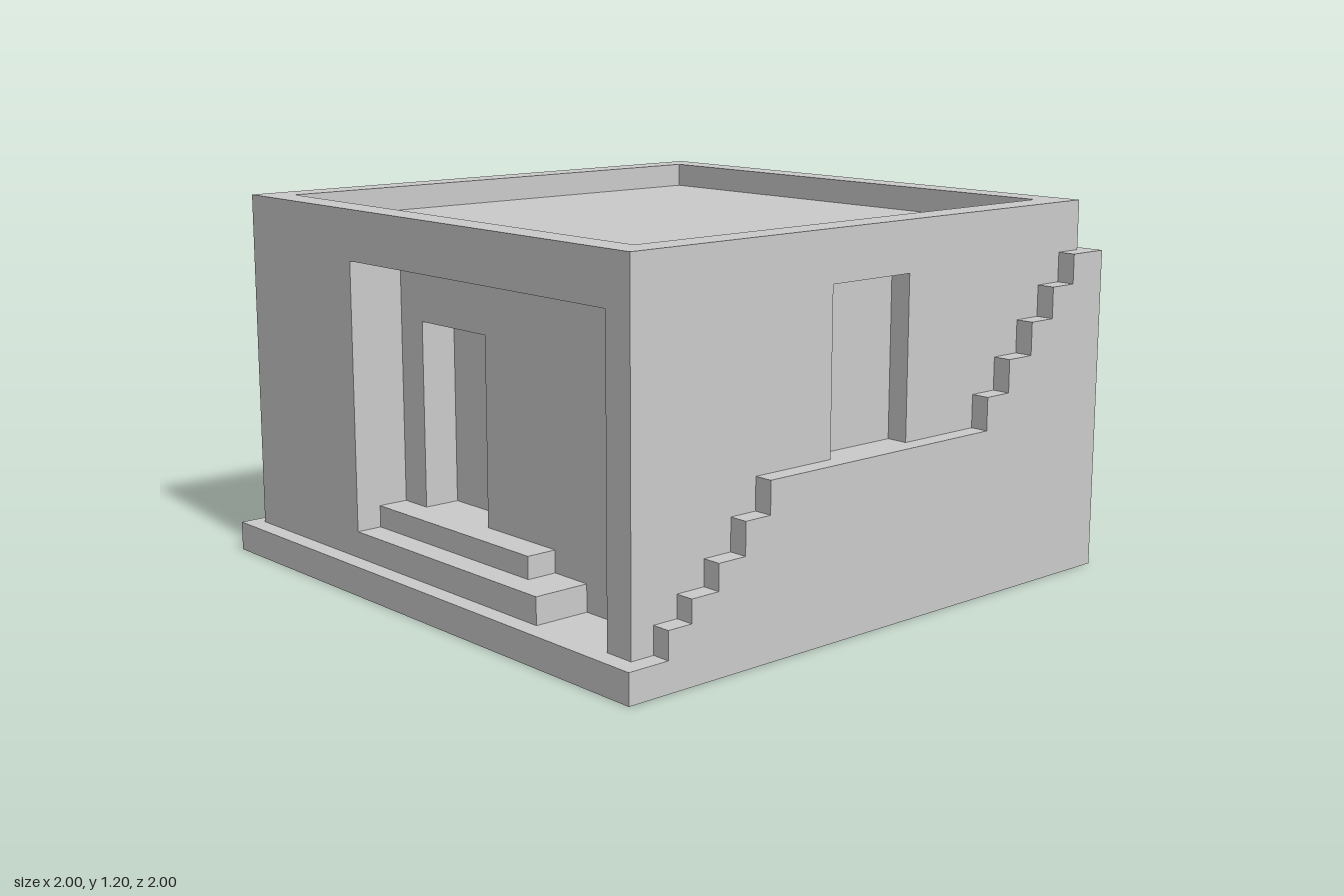
import * as THREE from 'three';

const material = new THREE.MeshStandardMaterial({ color: 0xcccccc });

export function createModel() {
  const model = new THREE.Group();

  function add(name, geometry) {
    const mesh = new THREE.Mesh(geometry, material);
    mesh.name = name;
    model.add(mesh);
    return mesh;
  }

  // Box given by its limits on each axis
  function block(name, [x0, x1], [y0, y1], [z0, z1]) {
    const mesh = add(name, new THREE.BoxGeometry(x1 - x0, y1 - y0, z1 - z0));
    mesh.position.set((x0 + x1) / 2, (y0 + y1) / 2, (z0 + z1) / 2);
  }

  const toShape = (points) => new THREE.Shape(points.map(([u, v]) => new THREE.Vector2(u, v)));
  const rect = (u0, u1, v0, v1) => [[u0, v0], [u1, v0], [u1, v1], [u0, v1]];

  // Upright slab running along x, or along z when sideways; from..to is its thickness range
  function slab(name, outline, from, to, { holes = [], sideways = false } = {}) {
    const shape = toShape(outline);
    shape.holes = holes.map((h) => toShape(rect(...h)));
    const geometry = new THREE.ExtrudeGeometry(shape, { depth: to - from, bevelEnabled: false });
    if (sideways) geometry.rotateY(-Math.PI / 2).translate(to, 0, 0);
    else geometry.translate(0, 0, from);
    add(name, geometry);
  }

  // Stair outline: treads are [start, height] from low u to high u
  function stairOutline(treads, end, base) {
    const points = [[treads[0][0], base], [end, base]];
    for (let i = treads.length - 1; i >= 0; i--) {
      const next = i + 1 < treads.length ? treads[i + 1][0] : end;
      points.push([next, treads[i][1]], [treads[i][0], treads[i][1]]);
    }
    // drop the repeated closing corner where the lowest tread meets the base
    return points;
  }

  const base = 0.095, top = 1.2, roof = 1.12, lintel = 1.04;
  const X = [-0.94, 0.95], Z = [-0.95, 0.94];       // outer wall faces
  const inX = [-0.84, 0.85], inZ = [-0.85, 0.84];   // inner wall faces

  block('foundation', [-1, 1], [0, base], [-1, 1]);

  // Outside stair climbing round the front, right and back
  slab('frontStair', stairOutline([
    [-0.86, 0.18], [-0.775, 0.25], [-0.675, 0.33], [-0.575, 0.43], [-0.48, 0.53],
    [0.45, 0.635], [0.55, 0.74], [0.655, 0.845], [0.755, 0.945], [0.855, lintel],
  ], 1, base), Z[1], 1);
  slab('sideStair', stairOutline([
    [-1, 0.33], [-0.675, 0.43], [-0.58, 0.53], [-0.49, 0.635],
    [-0.385, 0.74], [-0.28, 0.845], [-0.165, 0.945], [-0.05, lintel],
  ], Z[1], base), X[1], 1, { sideways: true });
  slab('backStair', stairOutline([[0.45, 0.18], [0.55, 0.25], [0.65, 0.33]], X[1], base), -1, Z[0]);

  // Front and back walls with door and window openings
  const frontDoor = [-0.18, 0.145, 0.53, lintel];
  const backDoor = [-0.18, 0.145, base + 0.002, 0.635];
  const windows = [[-0.775, -0.484, 0.635, lintel], [0.45, 0.753, 0.635, lintel]];
  slab('frontWall', rect(...X, base, top), inZ[1], Z[1], { holes: [frontDoor] });
  slab('backWall', rect(...X, base, top), Z[0], inZ[0], { holes: [backDoor, ...windows] });
  slab('frontDoor', rect(...frontDoor), inZ[1], Z[1] - 0.07);
  windows.forEach((w) => slab('window', rect(...w), Z[0] + 0.04, inZ[0]));

  // Right wall, and left wall cut open for the porch
  block('rightWall', [inX[1], X[1]], [base, top], inZ);
  const porchBack = -0.378, porchX = -0.755;
  slab('leftWall', [
    [inZ[0], base], [porchBack, base], [porchBack, lintel],
    [inZ[1], lintel], [inZ[1], top], [inZ[0], top],
  ], X[0], inX[0], { sideways: true });

  // Porch: end wall, inner wall with doorway, steps
  block('porchEndWall', [inX[0], porchX], [base, lintel], [inZ[0], porchBack]);
  slab('porchInnerWall', rect(...inZ, base, lintel), porchX, -0.635, {
    sideways: true, holes: [[-0.265, 0.06, 0.25, 0.845]],
  });
  block('porchLowerStep', [X[0], porchX], [base, 0.18], [porchBack, 0.53]);
  block('porchUpperStep', [-0.855, porchX], [0.18, 0.25], [porchBack, 0.385]);

  // Solid rooms and the sunken roof inside the parapet
  block('rooms', [-0.635, inX[1]], [base, lintel], inZ);
  block('roof', inX, [lintel, roof], inZ);

  return model;
}
